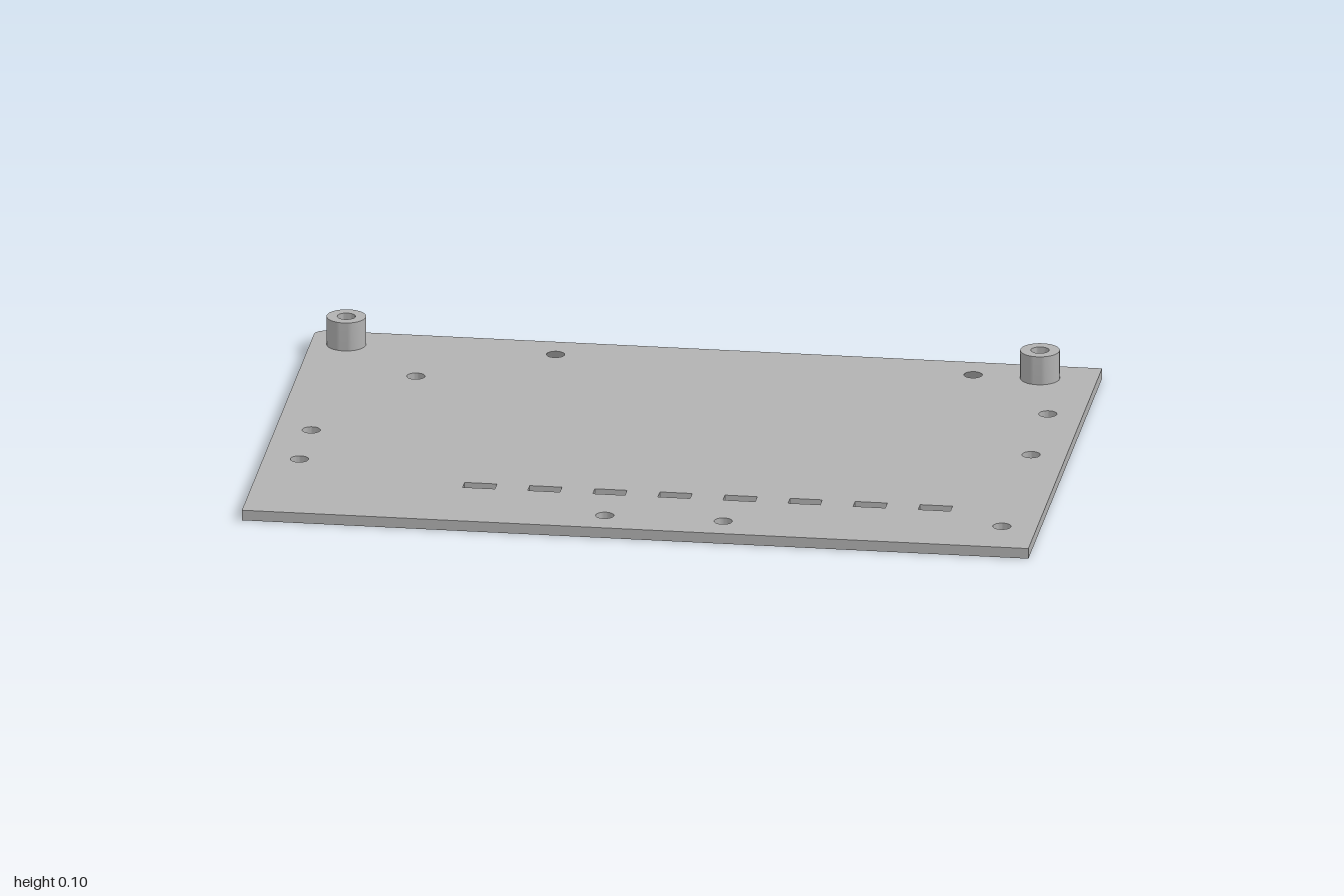
import * as THREE from 'three';
import { toCreasedNormals } from 'three/addons/utils/BufferGeometryUtils.js';

const HALF_X = 1, HALF_Z = 0.663, THICK = 0.027, TOP = 0.102;
const HOLE_R = 0.023, SINK_R = 0.042, BOSS_R = 0.05, CORNER_R = 0.03;

// Positions as [x, z]
const bosses = [[-0.909, -0.572], [0.855, -0.572]];
const countersinks = [[-0.377, -0.572], [0.685, -0.572]];
const holes = [
  [-0.703, -0.366], [0.911, -0.316], [0.911, -0.016], [-0.909, 0.059],
  [-0.909, 0.273], [0.911, 0.511], [-0.09, 0.572], [0.211, 0.572],
];

function circle(x, z, r) {
  return new THREE.Path().absarc(x, -z, r, 0, Math.PI * 2, true);
}

function rectangle(x, z, w, d) {
  return new THREE.Path([[-1, -1], [-1, 1], [1, 1], [1, -1]].map(
    ([sx, sy]) => new THREE.Vector2(x + sx * w / 2, -z + sy * d / 2)));
}

// Extrudes a plan outline upward from y = 0
function extrudeUp(shape, height) {
  const geometry = new THREE.ExtrudeGeometry(shape, { depth: height, bevelEnabled: false, curveSegments: 16 });
  return toCreasedNormals(geometry.rotateX(-Math.PI / 2), 0.6);
}

export function createModel() {
  const group = new THREE.Group();
  const grey = new THREE.MeshStandardMaterial({ color: 0xb2b2b2 });
  grey.name = 'plain grey';

  const add = (name, geometry, x = 0, y = 0, z = 0) => {
    const mesh = new THREE.Mesh(geometry, grey);
    mesh.name = name;
    mesh.position.set(x, y, z);
    group.add(mesh);
  };

  // Plate with one rounded back corner, drilled holes and a row of slots
  const plate = new THREE.Shape();
  plate.moveTo(-HALF_X, -HALF_Z);
  plate.lineTo(HALF_X, -HALF_Z);
  plate.lineTo(HALF_X, HALF_Z);
  plate.lineTo(-HALF_X + CORNER_R, HALF_Z);
  plate.absarc(-HALF_X + CORNER_R, HALF_Z - CORNER_R, CORNER_R, Math.PI / 2, Math.PI, false);
  plate.closePath();
  for (const [x, z] of [...holes, ...bosses]) plate.holes.push(circle(x, z, HOLE_R));
  for (const [x, z] of countersinks) plate.holes.push(circle(x, z, SINK_R));
  for (let i = 0; i < 8; i++) plate.holes.push(rectangle(-0.432 + i * 0.1655, 0.402, 0.082, 0.036));
  add('plate', extrudeUp(plate, THICK));

  // Hollow bosses in the back corners
  const ring = new THREE.Shape().absarc(0, 0, BOSS_R, 0, Math.PI * 2, false);
  ring.holes.push(circle(0, 0, HOLE_R));
  const bossGeometry = extrudeUp(ring, TOP - THICK);
  for (const [x, z] of bosses) add('boss', bossGeometry, x, THICK, z);

  // Conical countersinks that widen towards the underside
  const sinkProfile = [[SINK_R, THICK], [HOLE_R, THICK], [SINK_R, 0]].map(([r, y]) => new THREE.Vector2(r, y));
  const sinkGeometry = toCreasedNormals(new THREE.LatheGeometry(sinkProfile, 32), 0.6);
  for (const [x, z] of countersinks) add('countersink', sinkGeometry, x, 0, z);

  return group;
}
